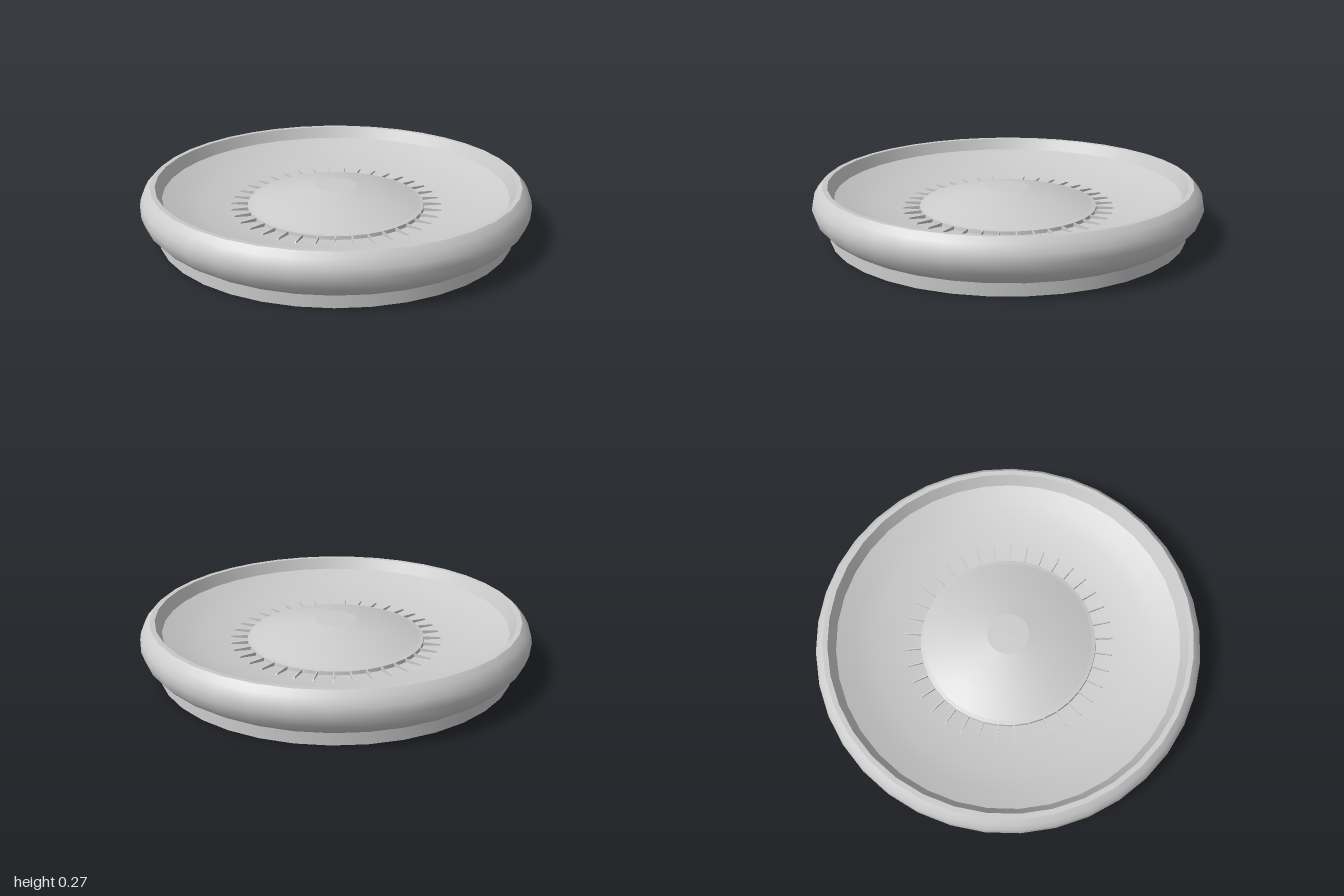
import * as THREE from 'three';

const SIDES = 37; // odd count, one corner points to the back
const material = new THREE.MeshStandardMaterial({ color: 0xcccccc, side: THREE.DoubleSide });

// Revolves several profile runs; each run is smooth, joints between runs stay sharp.
function turned(name, runs) {
  const part = new THREE.Group();
  part.name = name;
  runs.forEach((run, i) => {
    const points = run.map(([r, y]) => new THREE.Vector2(r, y));
    const mesh = new THREE.Mesh(new THREE.LatheGeometry(points, SIDES, Math.PI), material);
    mesh.name = name + 'Surface' + (i + 1);
    part.add(mesh);
  });
  return part;
}

export function createModel() {
  const model = new THREE.Group();
  model.name = 'dishedWheel';

  // Flat bottom with a short upright wall
  model.add(turned('base', [
    [[0, 0], [0.922, 0]],
    [[0.922, 0], [0.92, 0.058]],
  ]));

  // Bulging outer rim, narrow flat top and sloped inner wall
  model.add(turned('rim', [
    [[0.92, 0.058], [0.955, 0.083], [0.985, 0.12], [1, 0.17], [0.992, 0.21], [0.972, 0.245], [0.945, 0.27]],
    [[0.945, 0.27], [0.92, 0.268]],
    [[0.92, 0.268], [0.89, 0.205]],
  ]));

  // Shallow dish falling to a nearly flat ring around the hub
  model.add(turned('dish', [
    [[0.89, 0.205], [0.8, 0.168], [0.7, 0.138], [0.56, 0.112], [0.465, 0.104]],
  ]));

  // Raised lip, conical hub and flat centre cap
  model.add(turned('hub', [
    [[0.465, 0.104], [0.462, 0.122]],
    [[0.462, 0.122], [0.442, 0.126]],
    [[0.442, 0.126], [0.33, 0.162], [0.22, 0.19], [0.11, 0.21]],
    [[0.11, 0.21], [0, 0.212]],
  ]));

  // Thin wedge-shaped fins radiating from the hub
  const wedge = new THREE.Shape([
    new THREE.Vector2(0.46, 0.1),
    new THREE.Vector2(0.558, 0.108),
    new THREE.Vector2(0.545, 0.119),
    new THREE.Vector2(0.46, 0.122),
  ]);
  const finGeometry = new THREE.ExtrudeGeometry(wedge, { depth: 0.006, bevelEnabled: false });
  finGeometry.translate(0, 0, -0.003);
  const fins = new THREE.Group();
  fins.name = 'fins';
  for (let i = 0; i < SIDES; i++) {
    const fin = new THREE.Mesh(finGeometry, material);
    fin.name = 'fin' + (i + 1);
    fin.rotation.y = Math.PI / 2 + (i / SIDES) * Math.PI * 2;
    fins.add(fin);
  }
  model.add(fins);

  return model;
}
